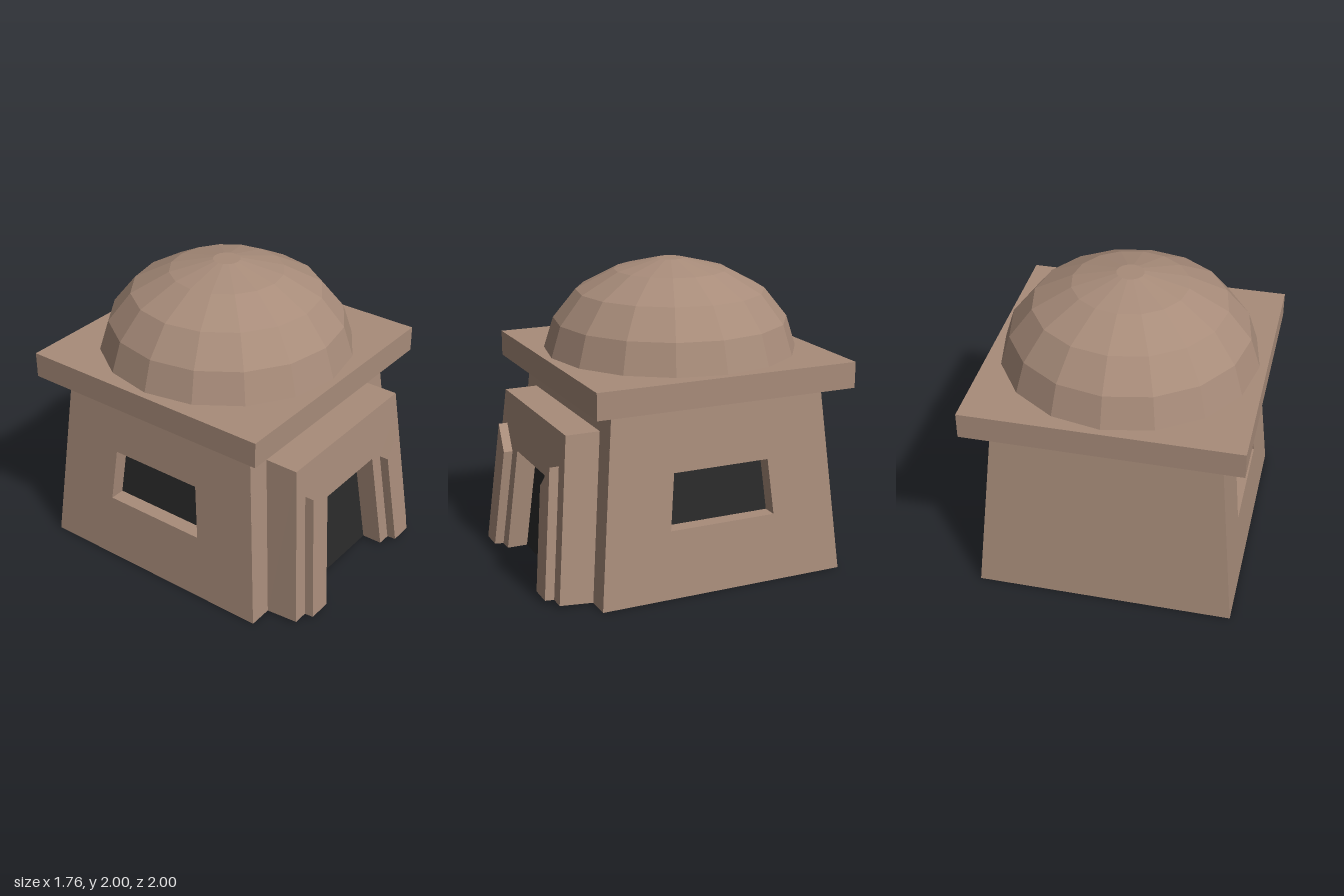
import * as THREE from 'three';

const SLOPE = 0.093; // inward lean of the walls
const HALF = 0.84; // half width of the house at the ground
const CENTRE_Z = -0.12;

const clay = new THREE.MeshStandardMaterial({ color: 0xa88c7a, flatShading: true, side: THREE.DoubleSide });
const dark = new THREE.MeshStandardMaterial({ color: 0x2a2a2a, flatShading: true, side: THREE.DoubleSide });

const mirror = (path) => path.map(([u, v]) => [-u, v]).reverse();

// Point (u, v) on a leaning wall, moved out by d; the lower edge rises with d
const onWall = (u, v, d) => [u, Math.max(v, SLOPE * d), HALF - SLOPE * v + d];

function mesh(name, geometry, material = clay) {
  const m = new THREE.Mesh(geometry, material);
  m.name = name;
  return m;
}

// Flat panel lying parallel to the leaning wall
function panel(name, outline, d, material = clay, hole = null) {
  const shape = new THREE.Shape(outline.map(([u, v]) => new THREE.Vector2(u, v)));
  if (hole) shape.holes.push(new THREE.Path(hole.map(([u, v]) => new THREE.Vector2(u, v))));
  const g = new THREE.ShapeGeometry(shape);
  const p = g.attributes.position;
  for (let i = 0; i < p.count; i++) p.setXYZ(i, ...onWall(p.getX(i), p.getY(i), d));
  g.computeVertexNormals();
  return mesh(name, g, material);
}

// Strip along a clockwise path, joining depth d0 to depth d1
function rim(name, path, d0, d1) {
  const v = [];
  for (let i = 0; i + 1 < path.length; i++) {
    const a0 = onWall(...path[i], d0), a1 = onWall(...path[i], d1);
    const b0 = onWall(...path[i + 1], d0), b1 = onWall(...path[i + 1], d1);
    v.push(...a0, ...a1, ...b1, ...a0, ...b1, ...b0);
  }
  const g = new THREE.BufferGeometry();
  g.setAttribute('position', new THREE.Float32BufferAttribute(v, 3));
  g.computeVertexNormals();
  return mesh(name, g);
}

function wall(name, angle) {
  const group = new THREE.Group();
  group.name = name;
  group.position.z = CENTRE_Z;
  group.rotation.y = angle;
  return group;
}

export function createModel() {
  const model = new THREE.Group();
  model.name = 'domedHouse';
  const wallOutline = [[-0.84, 0], [-0.725, 1.24], [0.725, 1.24], [0.84, 0]];

  // Plain back wall
  const back = wall('backWall', Math.PI);
  back.add(panel('backWallFace', wallOutline, 0));
  model.add(back);

  // Side walls with a recessed window each
  const windowPath = [[-0.363, 0.44], [-0.328, 0.805], [0.328, 0.805], [0.363, 0.44]];
  for (const s of [1, -1]) {
    const side = wall(s > 0 ? 'leftWall' : 'rightWall', s * Math.PI / 2);
    side.add(
      panel('sideWallFace', wallOutline, 0, clay, windowPath),
      rim('windowReveal', [...windowPath, windowPath[0]], 0, -0.1),
      panel('windowPane', windowPath, -0.1, dark),
    );
    model.add(side);
  }

  // Front wall, open behind the porch
  const PORCH = 0.222, PILASTER = 0.283, DOOR = 0.085;
  const porchPath = [[-0.68, 0], [-0.575, 1.075], [0.575, 1.075], [0.68, 0]];
  const doorPath = [[-0.335, 0.02], [-0.265, 0.73], [0.265, 0.73], [0.335, 0.02]];
  const pilasterPath = [[0.427, 0], [0.36, 0.7], [0.5, 0.86], [0.582, 0]];
  const front = wall('frontWall', 0);
  front.add(
    panel('frontWallFace', [...wallOutline, ...[...porchPath].reverse()], 0),
    rim('porchSides', porchPath, 0, PORCH),
    panel('porchFace', [
      ...porchPath,
      ...[...pilasterPath].reverse(),
      ...[...doorPath].reverse(),
      ...mirror(pilasterPath).reverse(),
    ], PORCH),
    rim('doorReveal', doorPath, PORCH, DOOR),
    panel('door', doorPath, DOOR, dark),
  );

  // Pilasters with slanted tops on both sides of the door
  for (const path of [pilasterPath, mirror(pilasterPath)]) {
    front.add(rim('pilasterSides', path, PORCH, PILASTER), panel('pilasterFace', path, PILASTER));
  }
  model.add(front);

  // Overhanging roof slab
  const slab = mesh('roofSlab', new THREE.BoxGeometry(1.765, 0.17, 1.76));
  slab.position.set(0, 1.325, CENTRE_Z);
  model.add(slab);

  // Faceted dome with a small flat crown
  const profile = [[0.833, 1.41], [0.77, 1.61], [0.62, 1.797], [0.37, 1.93], [0.088, 2], [0, 2]];
  const dome = mesh('dome', new THREE.LatheGeometry(profile.map(([r, y]) => new THREE.Vector2(r, y)), 16));
  dome.position.z = CENTRE_Z;
  model.add(dome);

  return model;
}
